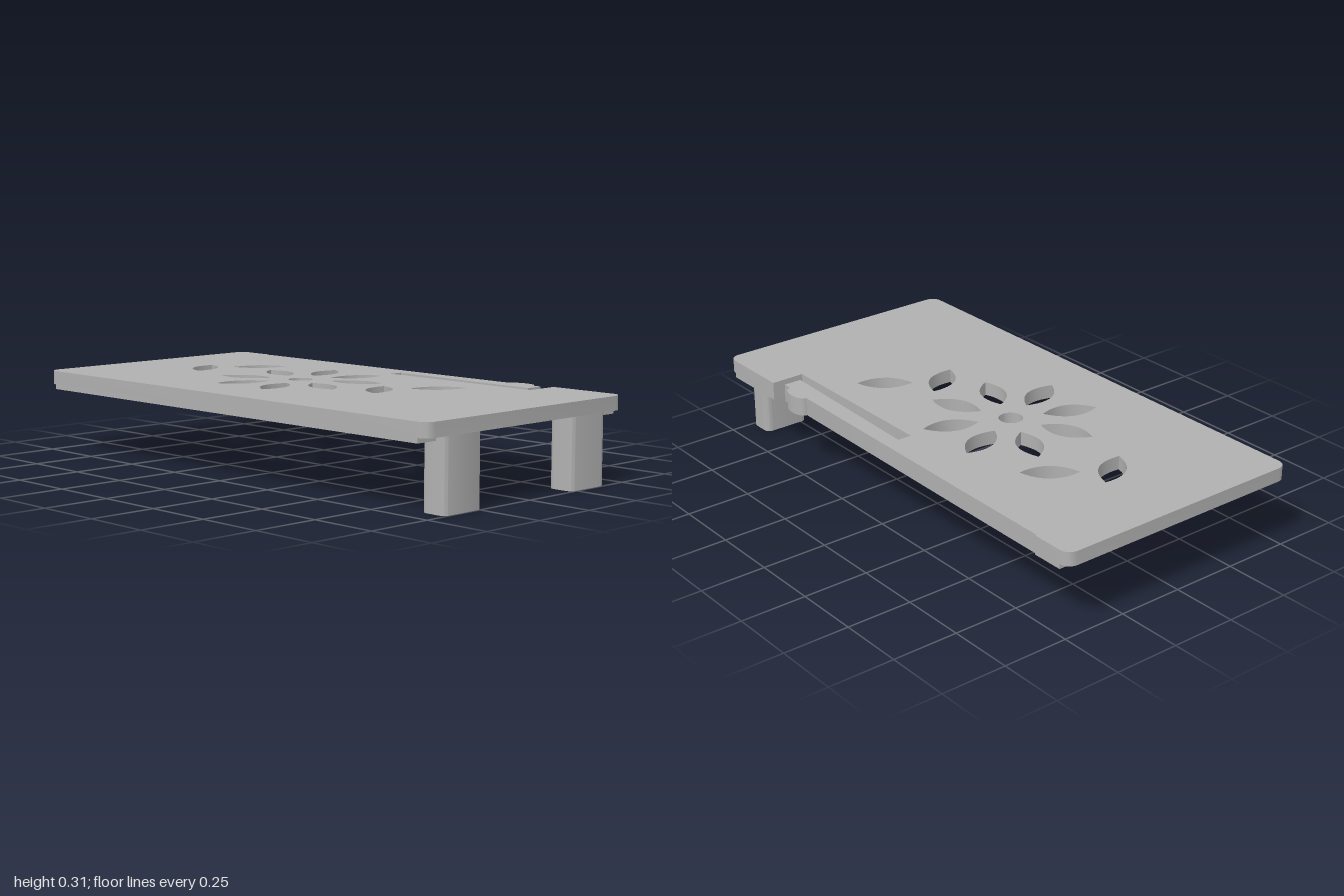
import * as THREE from 'three';
import { toCreasedNormals } from 'three/addons/utils/BufferGeometryUtils.js';

const TOP = 0.31, UNDER = 0.258, LIP = 0.24;

// Outlines are drawn in plan as (x, z); the extrusion runs upward from y0 to y1.
function slab(name, shape, y0, y1, material) {
  const geo = new THREE.ExtrudeGeometry(shape, { depth: y1 - y0, bevelEnabled: false, curveSegments: 12 });
  geo.rotateX(-Math.PI / 2);
  geo.translate(0, y0, 0);
  const mesh = new THREE.Mesh(toCreasedNormals(geo, 0.6), material);
  mesh.name = name;
  return mesh;
}

function polygon(points) {
  return new THREE.Shape(points.map(([x, z]) => new THREE.Vector2(x, -z)));
}

function roundedRect(x0, x1, z0, z1, r) {
  const s = new THREE.Shape();
  s.absarc(x1 - r, -z0 - r, r, 0, Math.PI / 2);
  s.absarc(x0 + r, -z0 - r, r, Math.PI / 2, Math.PI);
  s.absarc(x0 + r, -z1 + r, r, Math.PI, Math.PI * 1.5);
  s.absarc(x1 - r, -z1 + r, r, Math.PI * 1.5, Math.PI * 2);
  return s;
}

// Pointed leaf opening between two tips
function leaf(ax, az, bx, bz) {
  const dx = bx - ax, dz = bz - az, len = Math.hypot(dx, dz), w = 0.096;
  const mx = (ax + bx) / 2, mz = (az + bz) / 2, nx = -dz / len * w, nz = dx / len * w;
  const p = new THREE.Path();
  p.moveTo(ax, -az);
  p.quadraticCurveTo(mx + nx, -(mz + nz), bx, -bz);
  p.quadraticCurveTo(mx - nx, -(mz - nz), ax, -az);
  return p;
}

// Free end of the spring arm, including the rounded catch on its outer edge
function armEdge() {
  const pts = [[0.48, 0], [0.475, 0.495]];
  for (let i = 0; i <= 10; i++) {
    const a = -Math.PI / 2 + Math.PI * i / 10;
    pts.push([0.474 + 0.03 * Math.cos(a), 0.555 + 0.057 * Math.sin(a)]);
  }
  return [...pts, [0.47, 0.62], [0.47, 0.65], [0.4, 0.65], [0.42, 0]];
}

// Rounded corner points in plan
function corner(x, z, start, r = 0.04) {
  return Array.from({ length: 7 }, (_, i) => {
    const a = start + Math.PI / 2 * i / 6;
    return [x + r * Math.cos(a), z + r * Math.sin(a)];
  });
}

export function createModel() {
  const group = new THREE.Group();
  group.name = 'slottedCover';
  const grey = new THREE.MeshStandardMaterial({ color: 0xb0b0b0 });
  grey.name = 'grey';

  // Top plate with the spring arm slot cut into its edge
  const plate = polygon([
    ...corner(-0.465, -0.96, Math.PI),
    ...corner(0.455, -0.96, Math.PI * 1.5),
    [0.495, -0.84], [0.489, -0.84], [0.485, -0.4],
    ...armEdge(),
    [0.365, 0], [0.365, 0.69], [0.495, 0.69],
    ...corner(0.455, 0.96, 0),
    ...corner(-0.465, 0.96, Math.PI / 2),
  ]);

  // Flower: round centre and eight petals
  const cx = -0.005, cz = -0.11;
  const centre = new THREE.Path();
  centre.absarc(cx, -cz, 0.045, 0, Math.PI * 2);
  plate.holes.push(centre);
  for (let i = 0; i < 8; i++) {
    const a = Math.PI / 8 + i * Math.PI / 4, c = Math.cos(a), s = Math.sin(a);
    plate.holes.push(leaf(cx + 0.122 * c, cz + 0.122 * s, cx + 0.328 * c, cz + 0.328 * s));
  }
  // Two pairs of loose leaves
  for (const z of [-0.585, 0.37]) {
    plate.holes.push(leaf(-0.1, z, 0.07, z - 0.12));
    plate.holes.push(leaf(0.085, z - 0.007, 0.25, z + 0.12));
  }
  group.add(slab('plate', plate, UNDER, TOP, grey));

  // Low rails under both long edges
  group.add(slab('rightRail', polygon([[-0.505, -0.96], [-0.41, -0.96], [-0.41, 0.96], [-0.505, 0.96]]), LIP, UNDER, grey));
  group.add(slab('leftRailWithArm', polygon([
    [0.395, -0.96], [0.495, -0.96], [0.495, -0.84], [0.489, -0.84], [0.485, -0.4],
    ...armEdge(), [0.395, 0],
  ]), LIP, UNDER, grey));
  group.add(slab('leftRailFront', polygon([[0.395, 0.69], [0.495, 0.69], [0.495, 0.96], [0.395, 0.96]]), LIP, UNDER, grey));

  // Front legs
  for (const [name, x0, x1] of [['rightLeg', -0.418, -0.235], ['leftLeg', 0.222, 0.405]]) {
    group.add(slab(name, roundedRect(x0, x1, 0.895, 0.998, 0.025), 0, UNDER, grey));
  }
  return group;
}
